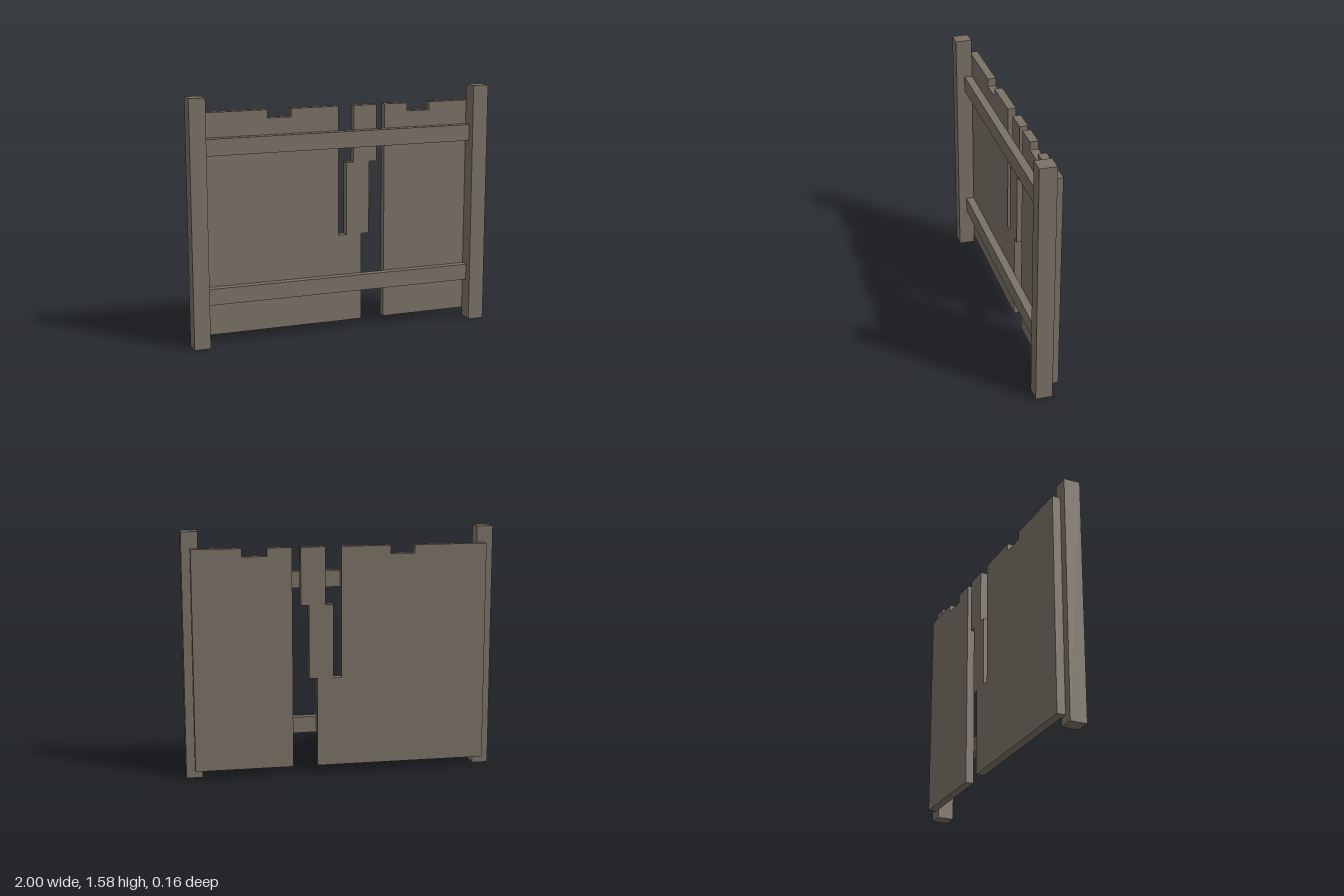
import * as THREE from 'three';

const BACK = -0.08, MID = -0.027, RAIL_FRONT = 0.025, FRONT = 0.08;
const BOTTOM = 0.055, TOP = 1.475, NOTCH = 1.422;

export function createModel() {
  const group = new THREE.Group();
  const wood = new THREE.MeshStandardMaterial({ color: 0x7a7165 });
  wood.name = 'weathered wood';

  // Box given by its limits on each axis
  const box = (name, x0, x1, y0, y1, z0, z1) => {
    const mesh = new THREE.Mesh(new THREE.BoxGeometry(x1 - x0, y1 - y0, z1 - z0), wood);
    mesh.position.set((x0 + x1) / 2, (y0 + y1) / 2, (z0 + z1) / 2);
    mesh.name = name;
    group.add(mesh);
  };

  // Board panel extruded from its outline
  const panel = (name, points) => {
    const shape = new THREE.Shape(points.map(([x, y]) => new THREE.Vector2(x, y)));
    const geometry = new THREE.ExtrudeGeometry(shape, { depth: MID - BACK, bevelEnabled: false });
    const mesh = new THREE.Mesh(geometry, wood);
    mesh.position.z = BACK;
    mesh.name = name;
    group.add(mesh);
  };

  // Posts at both ends
  box('rightPost', -1, -0.896, 0, 1.58, MID, FRONT);
  box('leftPost', 0.896, 1, 0, 1.58, MID, FRONT);

  // Horizontal rails between the posts
  box('lowerRail', -0.896, 0.896, 0.264, 0.369, MID, RAIL_FRONT);
  box('upperRail', -0.896, 0.896, 1.212, 1.318, MID, RAIL_FRONT);

  // Wide panel with the stepped, shifted plank
  panel('brokenPanel', [
    [-0.945, BOTTOM], [0.157, BOTTOM], [0.157, 0.633], [0.209, 0.633],
    [0.209, 1.107], [0.26, 1.107], [0.26, TOP], [0.103, TOP],
    [0.103, 1.107], [0.053, 1.107], [0.053, 0.633], [0, 0.633],
    [0, TOP], [-0.316, TOP], [-0.316, NOTCH], [-0.474, NOTCH],
    [-0.474, TOP], [-0.945, TOP],
  ]);

  // Narrow panel with one short plank
  panel('narrowPanel', [
    [0.315, BOTTOM], [0.945, BOTTOM], [0.945, TOP], [0.63, TOP],
    [0.63, NOTCH], [0.472, NOTCH], [0.472, TOP], [0.315, TOP],
  ]);

  return group;
}
